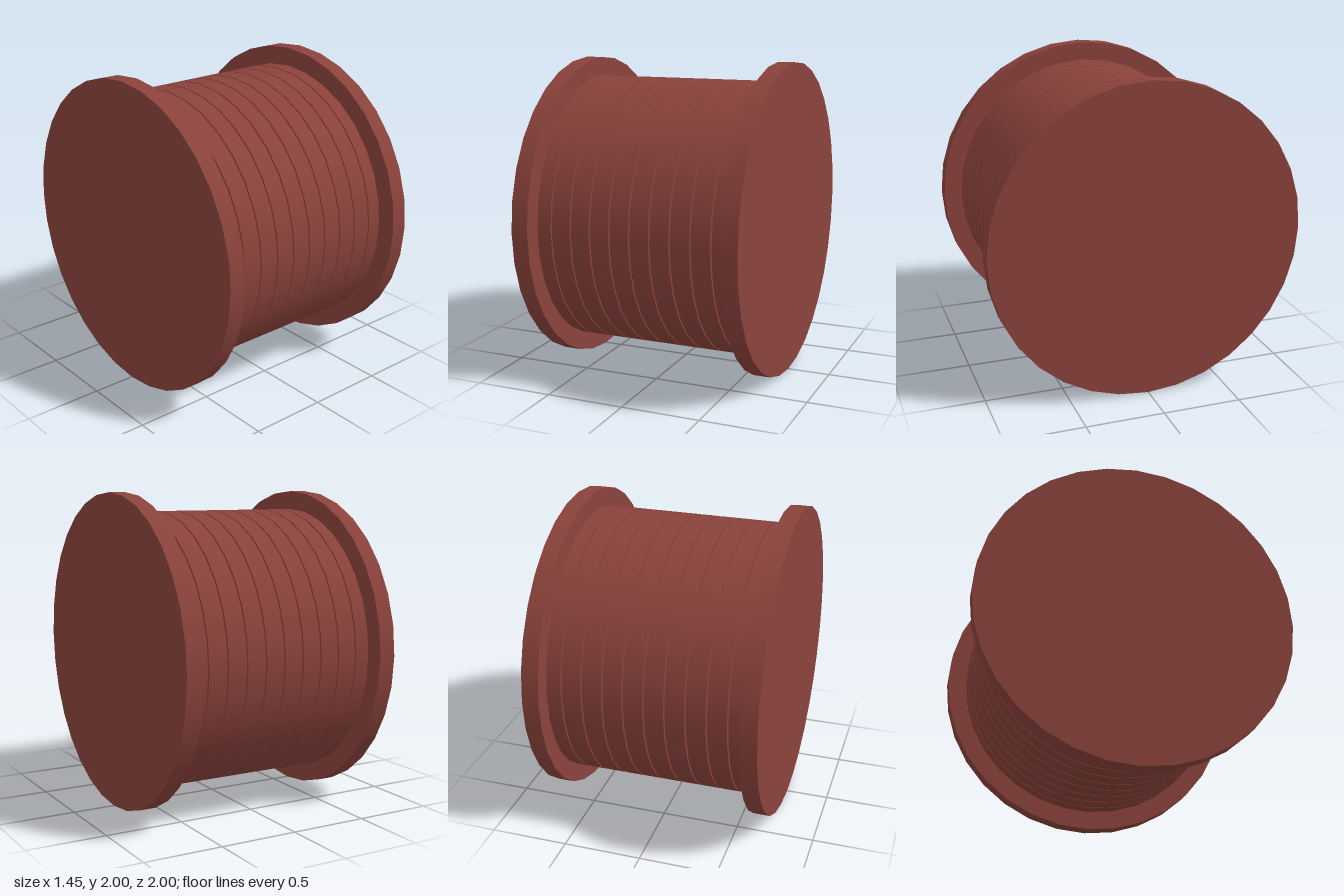
import * as THREE from 'three';

const SIDES = 32;

// Closed cylinder lying along x, spanning x0..x1
function disc(name, radius, x0, x1, material) {
  const geometry = new THREE.CylinderGeometry(radius, radius, x1 - x0, SIDES);
  geometry.rotateZ(Math.PI / 2);
  const mesh = new THREE.Mesh(geometry, material);
  mesh.name = name;
  mesh.position.set((x0 + x1) / 2, 1, 0);
  return mesh;
}

export function createModel() {
  const group = new THREE.Group();
  group.name = 'spool';
  const red = new THREE.MeshStandardMaterial({ color: 0x8a423b });
  red.name = 'brick red';

  // Wide end flanges
  group.add(disc('rightFlange', 1, -0.725, -0.617, red));
  group.add(disc('leftFlange', 1, 0.617, 0.725, red));

  // Row of windings with narrow open gaps between them
  const windings = new THREE.Group();
  windings.name = 'windings';
  const pitch = 0.13, gap = 0.009, count = 10;
  for (let i = 0; i < count; i++) {
    const x = (i - count / 2) * pitch;
    windings.add(disc('winding' + (i + 1), 0.88, x + gap / 2, x + pitch - gap / 2, red));
  }
  group.add(windings);
  return group;
}
